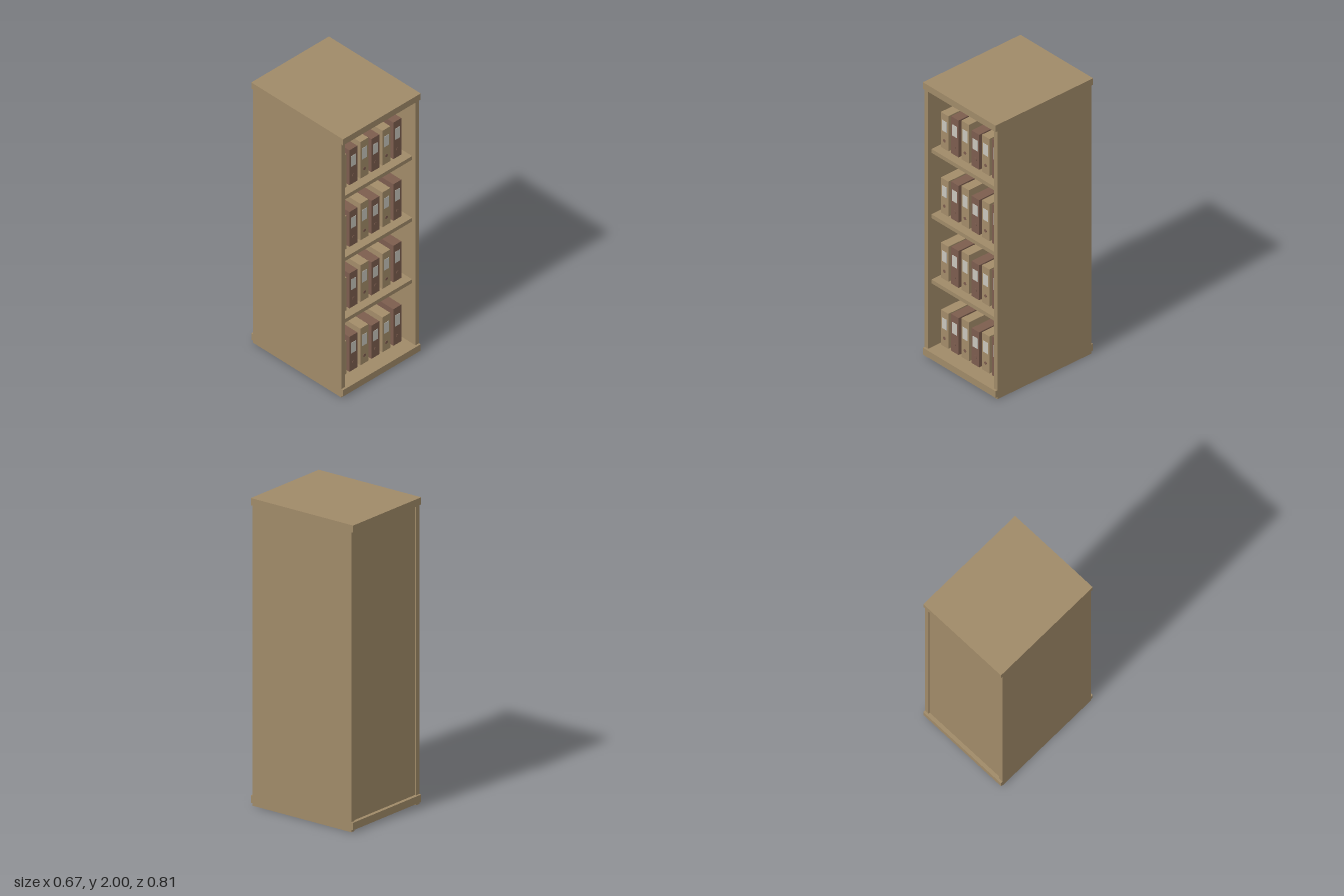
import * as THREE from 'three';

const wood = new THREE.MeshStandardMaterial({ color: 0xa08a68 });
wood.name = 'oak wood';
const tan = new THREE.MeshStandardMaterial({ color: 0xa38c69 });
tan.name = 'tan card';
const brown = new THREE.MeshStandardMaterial({ color: 0x7c5d4e });
brown.name = 'brown card';
const paper = new THREE.MeshStandardMaterial({ color: 0xc8c5bc });
paper.name = 'label paper';

// Box given by its min and max along each axis
function box(name, material, [x0, x1], [y0, y1], [z0, z1]) {
  const mesh = new THREE.Mesh(new THREE.BoxGeometry(x1 - x0, y1 - y0, z1 - z0), material);
  mesh.position.set((x0 + x1) / 2, (y0 + y1) / 2, (z0 + z1) / 2);
  mesh.name = name;
  return mesh;
}

// Ring binder standing on y = 0, spine facing +z at z = 0
function createBinder(height, cover) {
  const binder = new THREE.Group();
  binder.name = 'binder';
  const w = 0.034;
  binder.add(box('binderCover', cover, [-w, w], [0, height], [-0.28, 0]));
  const mid = height * 0.652;
  const half = height * 0.15;
  binder.add(box('spineLabel', paper, [-0.022, 0.022], [mid - half, mid + half], [0, 0.002]));
  const hole = new THREE.Mesh(new THREE.CylinderGeometry(0.011, 0.011, 0.003, 16), brown);
  hole.name = 'fingerHole';
  hole.rotation.x = Math.PI / 2;
  hole.position.set(0, 0.061, 0.001);
  binder.add(hole);
  return binder;
}

export function createModel() {
  const model = new THREE.Group();
  model.name = 'binderCabinet';
  const outer = 0.333, inner = 0.302, depth = 0.388, lip = 0.403;

  // Carcass
  model.add(box('topBoard', wood, [-outer, outer], [1.953, 2], [-lip, lip]));
  model.add(box('rightSide', wood, [-outer, -inner], [0, 1.953], [-depth, depth]));
  model.add(box('leftSide', wood, [inner, outer], [0, 1.953], [-depth, depth]));
  model.add(box('backPanel', wood, [-inner, inner], [0.005, 1.953], [-0.378, -0.355]));

  // Bottom board with overhanging lips front and back
  model.add(box('bottomBoard', wood, [-inner, inner], [0.016, 0.065], [-depth, depth]));
  model.add(box('frontLip', wood, [-outer, outer], [0.016, 0.065], [depth, lip]));
  model.add(box('backLip', wood, [-outer, outer], [0.016, 0.065], [-lip, -depth]));

  // Shelves, set back from the front edge
  const shelfTops = [0.559, 1.034, 1.51];
  for (const top of shelfTops) {
    model.add(box('shelf', wood, [-inner, inner], [top - 0.028, top], [-0.355, 0.36]));
  }

  // A row of six binders on every level
  const heights = [0.255, 0.269, 0.282];
  for (const base of [0.073, ...shelfTops.map((top) => top + 0.003)]) {
    const row = new THREE.Group();
    row.name = 'binderRow';
    for (let i = 0; i < 6; i++) {
      const binder = createBinder(heights[i % 3], i % 2 ? brown : tan);
      binder.position.set(-0.243 + i * 0.0942, base, 0.305);
      row.add(binder);
    }
    model.add(row);
  }
  return model;
}
